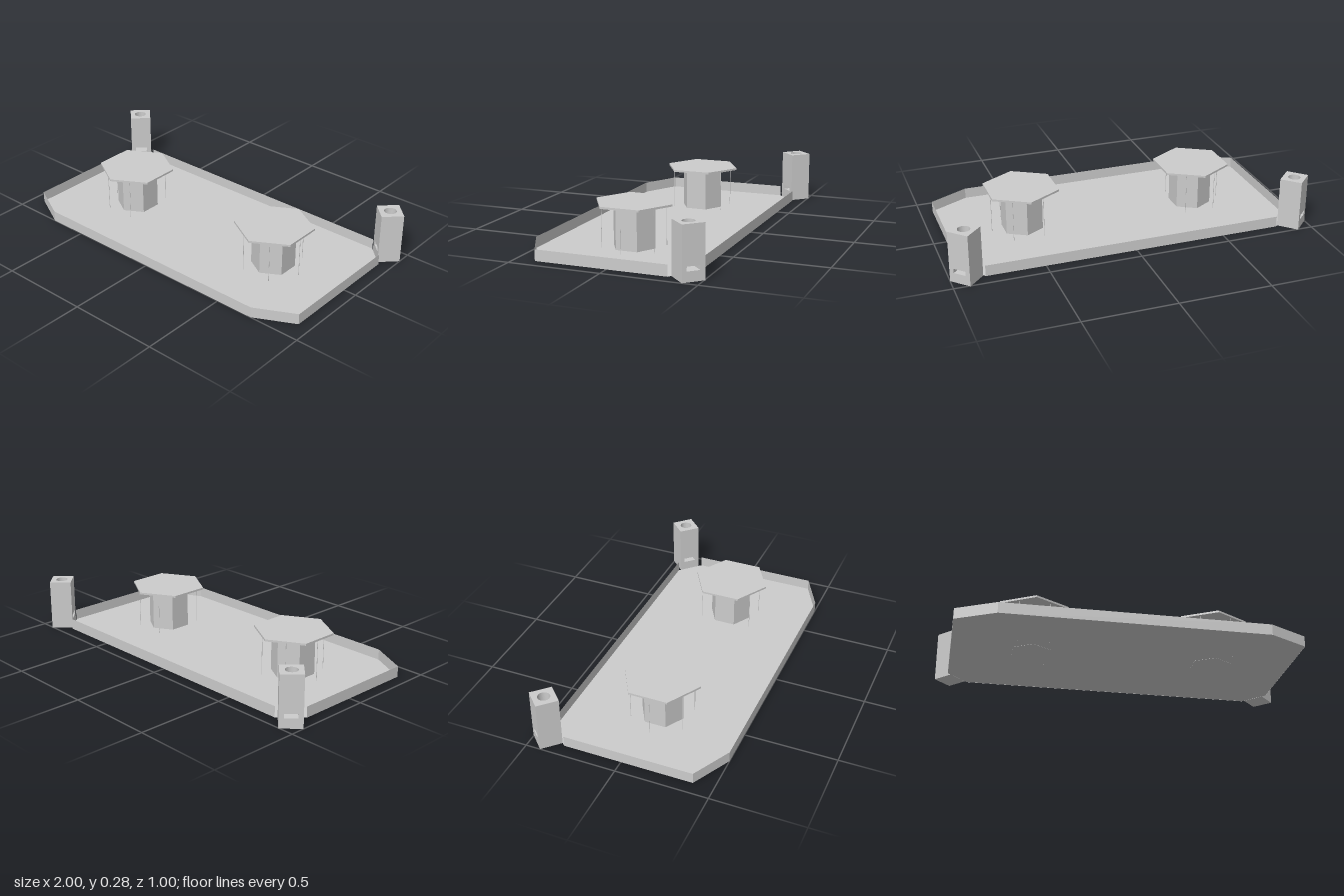
import * as THREE from 'three';

const mat = new THREE.MeshStandardMaterial({ color: 0xcccccc, flatShading: true, side: THREE.DoubleSide });

function add(parent, name, geometry, x = 0, y = 0, z = 0) {
  const mesh = new THREE.Mesh(geometry, mat);
  mesh.name = name;
  mesh.position.set(x, y, z);
  parent.add(mesh);
  return mesh;
}

// Tray outline as [x, z]; the two back chamfers are left open for the towers
const outline = [
  [-0.93, -0.32], [-0.93, 0.39], [-0.715, 0.5], [0.715, 0.5],
  [0.93, 0.39], [0.93, -0.32], [0.82, -0.43], [-0.82, -0.43],
];
const wallHeight = 0.06;

function createTray() {
  const tray = new THREE.Group();
  tray.name = 'tray';
  const shape = new THREE.Shape(outline.map(([x, z]) => new THREE.Vector2(x, -z)));
  add(tray, 'trayFloor', new THREE.ShapeGeometry(shape).rotateX(-Math.PI / 2), 0, 0.001, 0);
  outline.forEach(([x0, z0], i) => {
    if (i === 5 || i === 7) return;
    const [x1, z1] = outline[(i + 1) % outline.length];
    const length = Math.hypot(x1 - x0, z1 - z0);
    const wall = add(tray, 'trayWall', new THREE.PlaneGeometry(length, wallHeight),
      (x0 + x1) / 2, wallHeight / 2, (z0 + z1) / 2);
    wall.rotation.y = -Math.atan2(z1 - z0, x1 - x0);
  });
  return tray;
}

// Hexagonal table: pedestal, wide thin top and fine hanging rods
function createTable(side) {
  const table = new THREE.Group();
  table.name = side > 0 ? 'leftTable' : 'rightTable';
  table.position.set(side * 0.5, 0, 0.042);
  add(table, 'pedestal', new THREE.CylinderGeometry(0.118, 0.118, 0.232, 6), 0, 0.116, 0);
  add(table, 'tableTop', new THREE.CylinderGeometry(0.214, 0.214, 0.011, 6), 0, 0.2375, 0);
  for (let i = -2; i <= 2; i++) {
    const a = i * Math.PI / 3;
    add(table, 'rod', new THREE.CylinderGeometry(0.0015, 0.0015, 0.232, 6),
      side * 0.17 * Math.cos(a), 0.116, 0.17 * Math.sin(a));
  }
  return table;
}

// Square corner tower turned 45 degrees, with a bore from the top and a slot through its foot
function createTower(side) {
  const tower = new THREE.Group();
  tower.name = side > 0 ? 'leftTower' : 'rightTower';
  tower.position.set(side * 0.915, 0, -0.42);
  tower.rotation.y = -side * Math.PI / 4;
  const w = 0.12, slotWidth = 0.07, slotLow = 0.053, slotHigh = 0.077, top = 0.28;
  const cheek = (w - slotWidth) / 2;
  add(tower, 'towerFoot', new THREE.BoxGeometry(w, slotLow, w), 0, slotLow / 2, 0);
  for (const s of [-1, 1]) {
    add(tower, 'slotCheek', new THREE.BoxGeometry(cheek, slotHigh - slotLow, w),
      s * (w - cheek) / 2, (slotLow + slotHigh) / 2, 0);
  }
  const h = w / 2;
  const shape = new THREE.Shape([
    new THREE.Vector2(-h, -h), new THREE.Vector2(h, -h),
    new THREE.Vector2(h, h), new THREE.Vector2(-h, h),
  ]);
  shape.holes.push(new THREE.Path().absarc(0, 0, 0.033, 0, Math.PI * 2, true));
  const body = new THREE.ExtrudeGeometry(shape, { depth: top - slotHigh, bevelEnabled: false, curveSegments: 24 });
  add(tower, 'towerBody', body.rotateX(-Math.PI / 2), 0, slotHigh, 0);
  return tower;
}

export function createModel() {
  const model = new THREE.Group();
  model.name = 'trayWithTables';
  model.add(createTray());
  for (const side of [-1, 1]) model.add(createTable(side), createTower(side));
  return model;
}
